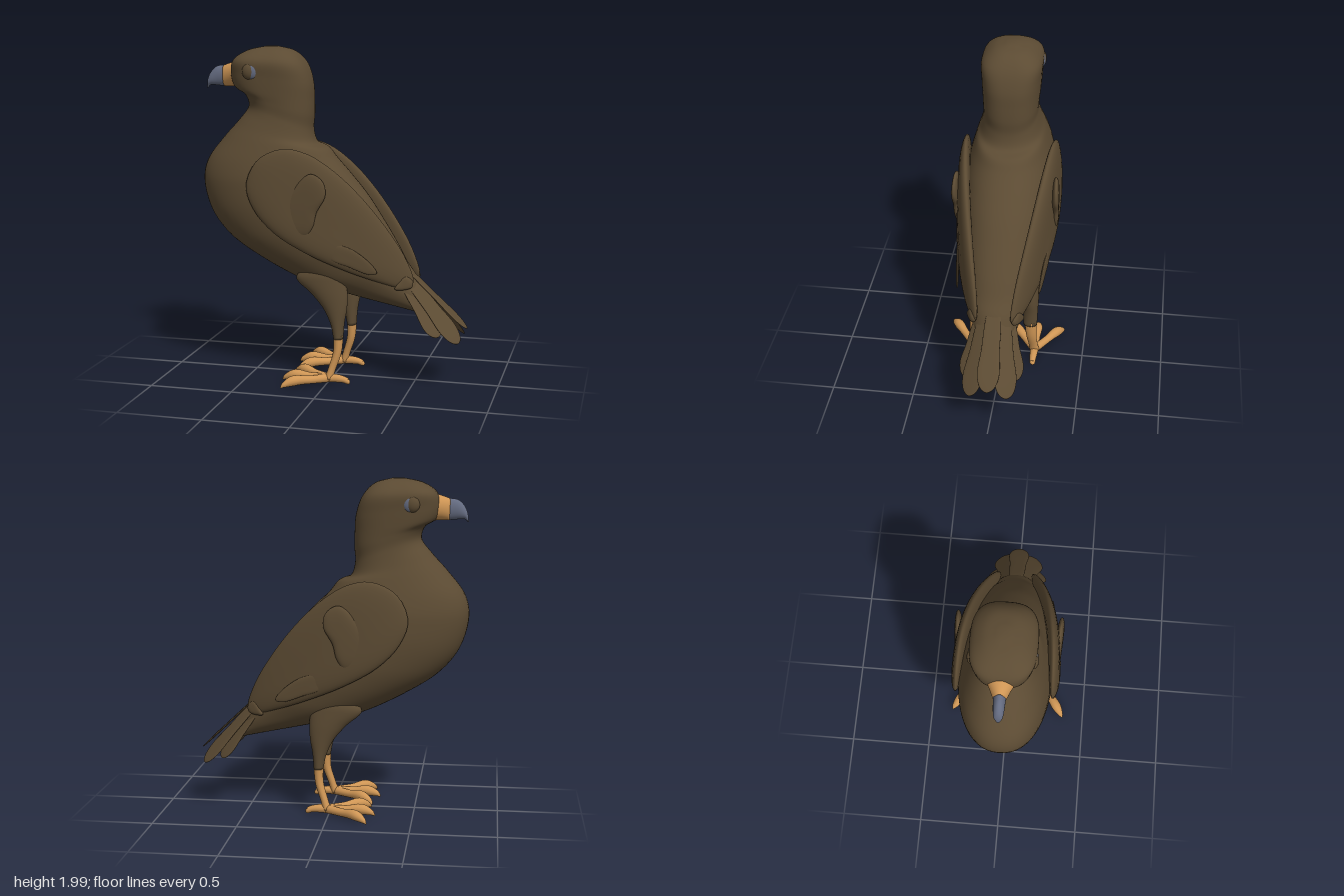
import * as THREE from 'three';

const V = (x, y, z = 0) => new THREE.Vector3(x, y, z);
const paint = (name, color) => Object.assign(new THREE.MeshStandardMaterial({ color }), { name });

// Closed skin over a list of point rings, always facing outwards
function skin(rings) {
  const n = rings[0].length, m = rings.length, pts = rings.flat(), idx = [];
  for (const end of [rings[0], rings[m - 1]]) {
    pts.push(end.reduce((a, p) => a.add(p), V(0, 0)).divideScalar(n));
  }
  for (let j = 0; j < n; j++) {
    const k = (j + 1) % n;
    for (let i = 0; i < m - 1; i++) {
      const a = i * n + j, b = i * n + k;
      idx.push(a, b, a + n, b, b + n, a + n);
    }
    idx.push(m * n, k, j, m * n + 1, (m - 1) * n + j, (m - 1) * n + k);
  }
  let volume = 0;
  for (let i = 0; i < idx.length; i += 3) {
    volume += pts[idx[i]].dot(V(0, 0).crossVectors(pts[idx[i + 1]], pts[idx[i + 2]]));
  }
  if (volume < 0) idx.reverse();
  const g = new THREE.BufferGeometry().setFromPoints(pts);
  g.setIndex(idx);
  g.computeVertexNormals();
  return g;
}

// Sections: [front x, front y, back x, back y, half width, roundness (1 = oval, lower = boxy)]
function loft(sections, steps, z = 0, sides = 40) {
  const f = new THREE.CatmullRomCurve3(sections.map(s => V(s[0], s[1])));
  const b = new THREE.CatmullRomCurve3(sections.map(s => V(s[2], s[3])));
  const w = new THREE.CatmullRomCurve3(sections.map(s => V(s[4], s[5] ?? 1)));
  const rings = [];
  for (let i = 0; i <= steps; i++) {
    const t = i / steps, F = f.getPoint(t), B = b.getPoint(t), W = w.getPoint(t);
    rings.push(Array.from({ length: sides }, (_, j) => {
      const a = j / sides * Math.PI * 2;
      const pw = v => Math.sign(v) * Math.abs(v) ** W.y;
      const p = F.clone().lerp(B, 0.5 - 0.5 * pw(Math.cos(a)));
      p.z = z + W.x * pw(Math.sin(a));
      return p;
    }));
  }
  return skin(rings);
}

// Lens-shaped plate from a closed outline; map places (u, v, height) in space
function blade(outline, thick, map) {
  const edge = new THREE.CatmullRomCurve3(outline.map(p => V(...p)), true).getPoints(56).slice(0, 56);
  const c = edge.reduce((a, p) => a.add(p), V(0, 0)).divideScalar(edge.length);
  const rings = [];
  for (let i = 0; i <= 16; i++) {
    const a = (i / 16 - 0.5) * Math.PI * 0.96, s = Math.cos(a) ** 0.5;
    rings.push(edge.map(p => map(c.x + (p.x - c.x) * s, c.y + (p.y - c.y) * s, thick * Math.sin(a))));
  }
  return skin(rings);
}

// Round limb along a path with a radius at each point; wide stretches it sideways
function limb(path, radii, wide = 1) {
  const curve = new THREE.CatmullRomCurve3(path);
  const rad = new THREE.CatmullRomCurve3(radii.map(r => V(r, 0)));
  const up = Math.abs(path[0].y - path[path.length - 1].y) > 0.15 ? V(1, 0) : V(0, 1);
  const rings = [];
  for (let i = 0; i <= 16; i++) {
    const t = i / 16, p = curve.getPoint(t), r = rad.getPoint(t).x;
    const side = curve.getTangent(t).cross(up).normalize();
    const nrm = curve.getTangent(t).cross(side).normalize();
    rings.push(Array.from({ length: 14 }, (_, j) => {
      const a = j / 14 * Math.PI * 2;
      return p.clone().addScaledVector(side, wide * r * Math.cos(a)).addScaledVector(nrm, r * Math.sin(a));
    }));
  }
  return skin(rings);
}

// Tail feather between two points, rolled about its length
function feather(root, tip, width, roll) {
  const dir = tip.clone().sub(root), len = dir.length();
  dir.normalize();
  const across = V(0, 0, 1).addScaledVector(dir, -dir.z).normalize().applyAxisAngle(dir, roll);
  const nrm = dir.clone().cross(across);
  const o = [[0, 0.45], [0.5, 0.85], [0.8, 1], [0.95, 0.62], [1, 0], [0.95, -0.62], [0.8, -1], [0.5, -0.85], [0, -0.45]];
  return blade(o.map(([u, v]) => [u * len, v * width]), 0.006, (u, v, h) =>
    root.clone().addScaledVector(dir, u).addScaledVector(across, v).addScaledVector(nrm, h));
}

export function createModel() {
  const model = new THREE.Group();
  model.name = 'bird';
  const brown = paint('brownPlumage', 0x5c4b33);
  const orange = paint('orangeSkin', 0xcf9655);
  const grey = paint('greyHorn', 0x646b80);
  const add = (name, geometry, material) => {
    const mesh = new THREE.Mesh(geometry, material);
    mesh.name = name;
    model.add(mesh);
    return mesh;
  };

  // Head, neck and body in one skin, crown to rump
  add('body', loft([
    [-0.42, 2.0, -0.35, 2.0, 0.03, 0.8], [-0.53, 1.975, -0.25, 1.972, 0.115, 0.75],
    [-0.61, 1.92, -0.18, 1.9, 0.178, 0.68], [-0.63, 1.85, -0.14, 1.79, 0.177, 0.75],
    [-0.61, 1.765, -0.132, 1.69, 0.172, 0.8], [-0.545, 1.72, -0.13, 1.6, 0.166, 0.85],
    [-0.525, 1.65, -0.135, 1.51, 0.166, 0.9], [-0.585, 1.565, -0.11, 1.43, 0.185, 0.9],
    [-0.68, 1.46, -0.04, 1.4, 0.21, 0.9], [-0.785, 1.32, 0.01, 1.34, 0.24, 0.9],
    [-0.81, 1.2, 0.1, 1.24, 0.265, 0.9], [-0.76, 1.01, 0.2, 1.12, 0.275, 0.9],
    [-0.645, 0.865, 0.3, 0.97, 0.27, 0.9], [-0.45, 0.735, 0.38, 0.84, 0.25, 0.9],
    [-0.18, 0.605, 0.44, 0.73, 0.215, 0.9], [0.1, 0.53, 0.49, 0.66, 0.17, 0.9],
    [0.35, 0.475, 0.52, 0.6, 0.13, 0.9], [0.55, 0.43, 0.55, 0.54, 0.085, 0.9],
  ], 90, 0, 56), brown);

  // Beak with fleshy base
  add('cere', loft([[-0.57, 1.92, -0.57, 1.75, 0.1], [-0.64, 1.9, -0.625, 1.757, 0.062],
    [-0.69, 1.882, -0.685, 1.757, 0.036]], 12), orange);
  add('beak', loft([[-0.68, 1.885, -0.675, 1.757, 0.035], [-0.735, 1.875, -0.71, 1.76, 0.032],
    [-0.772, 1.84, -0.745, 1.763, 0.029], [-0.79, 1.8, -0.775, 1.762, 0.023],
    [-0.797, 1.748, -0.79, 1.746, 0.008]], 20), grey);

  // Middle tail feather
  add('tailFeatherMiddle', feather(V(0.46, 0.68), V(0.808, 0.35), 0.064, 0), brown);

  for (const s of [1, -1]) {
    const side = s > 0 ? 'left' : 'right';

    // Eye with a heavy lid that leaves a crescent
    const eye = add(side + 'Eye', new THREE.SphereGeometry(1, 24, 16), grey);
    eye.position.set(-0.463, 1.857, s * 0.165);
    eye.scale.set(0.042, 0.047, 0.021);
    const lid = add(side + 'Eyelid', new THREE.SphereGeometry(1, 24, 16), brown);
    lid.position.set(-0.479, 1.857, s * 0.163);
    lid.scale.set(0.042, 0.048, 0.027);

    // Folded wing and its overlapping feathers
    const rest = (x, y) => 0.3 - 0.2 * x - 0.25 * x * x - 0.05 * y;
    const onWing = lift => (x, y, h) => V(x, y, s * (rest(x, y) + lift + h));
    add(side + 'Wing', blade([[-0.25, 1.42], [-0.4, 1.35], [-0.468, 1.2], [-0.42, 1.06], [-0.3, 0.93], [-0.12, 0.82],
      [0.1, 0.72], [0.3, 0.645], [0.45, 0.605], [0.5, 0.63], [0.46, 0.77], [0.34, 0.97],
      [0.18, 1.17], [0.03, 1.31], [-0.11, 1.395]], 0.039, onWing(0)), brown);
    add(side + 'WingCovert', blade([[-0.07, 1.285], [0.005, 1.24], [0.018, 1.16], [-0.035, 1.06], [-0.06, 0.97],
      [-0.11, 0.91], [-0.25, 0.92], [-0.26, 1.04], [-0.17, 1.2]], 0.022,
    (x, y, h) => V(x, y, s * (0.303 + 0.06 * x + h))), brown);
    add(side + 'WingFeather', blade([[0.04, 0.87], [0.16, 0.85], [0.29, 0.75], [0.31, 0.71], [0.27, 0.7],
      [0.14, 0.745], [0.04, 0.79]], 0.008, (x, y, h) => V(x, y, s * (0.282 - 0.125 * x + h))), brown);
    add(side + 'WingTip', blade([[0.46, 0.68], [0.5, 0.64], [0.49, 0.605], [0.4, 0.6], [0.42, 0.64]],
      0.02, onWing(0.01)), brown);

    // Outer tail feathers
    add(side + 'TailFeatherInner', feather(V(0.46, 0.655, s * 0.05), V(0.775, 0.285, s * 0.11), 0.07, s * 0.5), brown);
    add(side + 'TailFeatherOuter', feather(V(0.45, 0.62, s * 0.08), V(0.66, 0.325, s * 0.145), 0.068, s * 0.55), brown);

    // Feathered thigh and bare shank
    add(side + 'Thigh', loft([[-0.12, 0.72, 0.03, 0.72, 0.03], [-0.195, 0.645, 0.1, 0.66, 0.048],
      [-0.1, 0.55, 0.118, 0.56, 0.05], [-0.025, 0.46, 0.115, 0.47, 0.048],
      [0.017, 0.37, 0.1, 0.38, 0.045], [0.035, 0.285, 0.092, 0.285, 0.042]], 30, s * 0.172), brown);
    add(side + 'Shank', limb([V(0.064, 0.31, s * 0.174), V(0.058, 0.2, s * 0.178), V(0.028, 0.1, s * 0.188),
      V(0.01, 0.04, s * 0.195)], [0.03, 0.025, 0.022, 0.024], 1.3), orange);

    // Three front toes and one hind toe
    const tips = { Middle: [-0.275, 0.195], Outer: [-0.24, 0.365], Inner: [-0.24, 0.025], Hind: [0.14, 0.195] };
    for (const [toe, [x, z]] of Object.entries(tips)) {
      const at = (t, y) => V(0.01 + (x - 0.01) * t, y, s * (0.195 + (z - 0.195) * t));
      const hind = toe === 'Hind';
      add(side + toe + 'Toe', limb([at(0, 0.044), at(0.4, 0.045), at(0.72, hind ? 0.04 : 0.05), at(0.93, 0.03),
        at(1, hind ? 0.033 : 0.014)], [0.026, 0.024, hind ? 0.02 : 0.031, 0.017, 0.004]), orange);
    }
  }
  return model;
}
